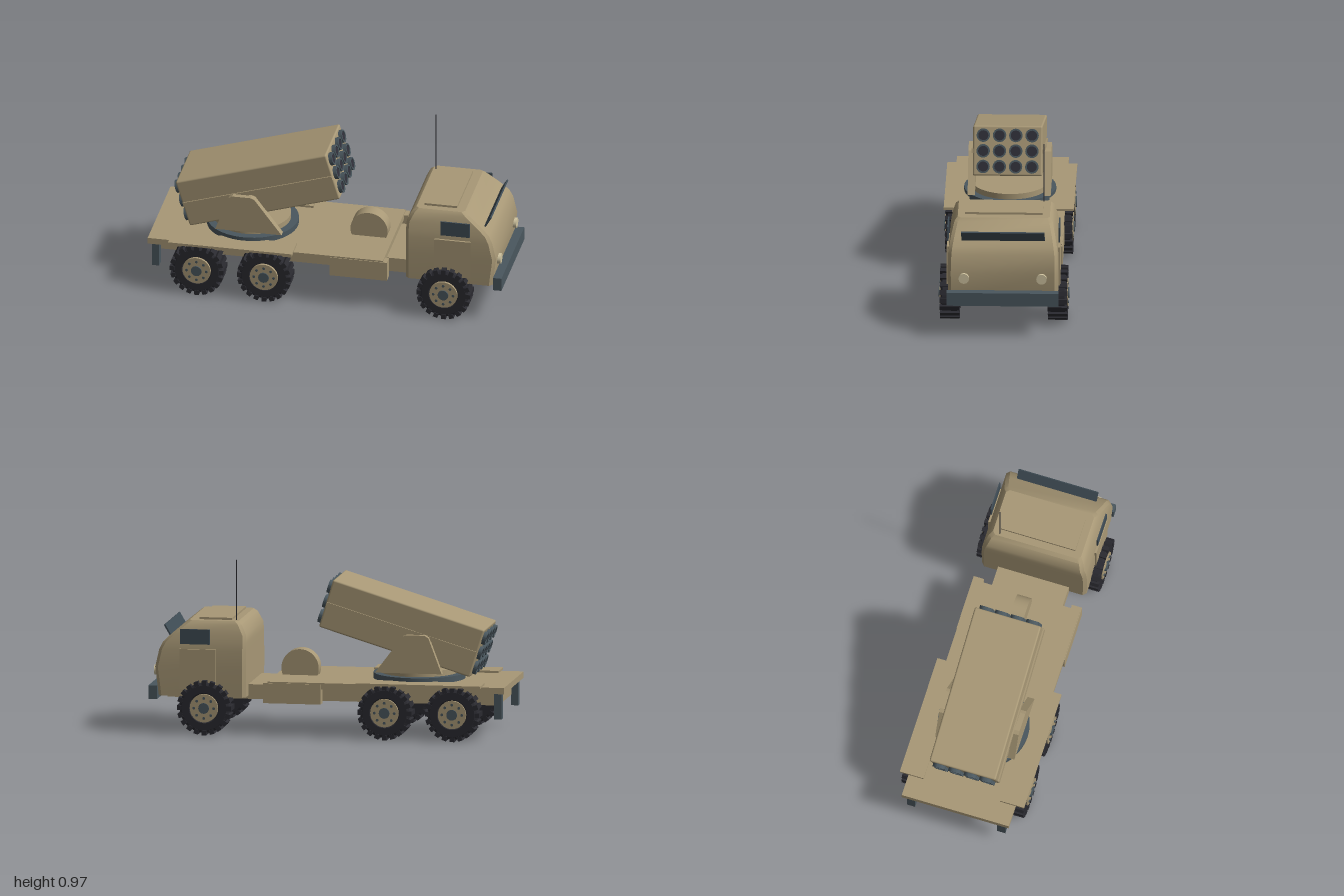
import * as THREE from 'three';
import { toCreasedNormals } from 'three/addons/utils/BufferGeometryUtils.js';
import { RoundedBoxGeometry } from 'three/addons/geometries/RoundedBoxGeometry.js';

const mat = (name, color) => {
  const m = new THREE.MeshStandardMaterial({ color });
  m.name = name;
  return m;
};
const tan = mat('sand paint', 0xa89876);
const slate = mat('slate metal', 0x4a575e);
const rubber = mat('black rubber', 0x2a2a30);
const bore = mat('dark bore', 0x302f38);
const glass = mat('dark glass', 0x3e4b54);
const cream = mat('lamp cream', 0xd0c4a0);

function add(parent, name, geometry, material, x = 0, y = 0, z = 0) {
  const m = new THREE.Mesh(geometry, material);
  m.name = name;
  m.position.set(x, y, z);
  parent.add(m);
  return m;
}

// Box given by its limits on each axis
function block(parent, name, material, x0, x1, y0, y1, z0, z1) {
  return add(parent, name, new THREE.BoxGeometry(x1 - x0, y1 - y0, z1 - z0), material,
    (x0 + x1) / 2, (y0 + y1) / 2, (z0 + z1) / 2);
}

// Cylinders lying along z or x
const cylZ = (r, len, n = 32) => new THREE.CylinderGeometry(r, r, len, n).rotateX(Math.PI / 2);
const cylX = (r, len, n = 24) => new THREE.CylinderGeometry(r, r, len, n).rotateZ(-Math.PI / 2);

// Cab shell lofted through chamfered rectangles: [y, back x, front x, half width]
function cabGeometry() {
  const levels = [
    [0.21, 0.455, 0.945, 0.303], [0.37, 0.455, 0.965, 0.306], [0.47, 0.455, 0.942, 0.303],
    [0.51, 0.455, 0.922, 0.298], [0.555, 0.457, 0.875, 0.288], [0.612, 0.485, 0.805, 0.272],
    [0.63, 0.505, 0.78, 0.255],
  ];
  const pos = [], idx = [], n = 8;
  for (const [y, b, f, w] of levels) {
    const c = 0.018;
    const ring = [[f, -w + c], [f, w - c], [f - c, w], [b + c, w],
      [b, w - c], [b, -w + c], [b + c, -w], [f - c, -w]];
    for (const [x, z] of ring) pos.push(x, y, z);
  }
  for (let l = 0; l < levels.length - 1; l++) {
    for (let i = 0; i < n; i++) {
      const a = l * n + i, b = l * n + (i + 1) % n;
      idx.push(a, a + n, b, b, a + n, b + n);
    }
  }
  const top = (levels.length - 1) * n;
  for (let i = 1; i < n - 1; i++) {
    idx.push(0, i, i + 1);
    idx.push(top, top + i + 1, top + i);
  }
  const g = new THREE.BufferGeometry();
  g.setAttribute('position', new THREE.Float32BufferAttribute(pos, 3));
  g.setIndex(idx);
  return toCreasedNormals(g, 0.5);
}

// Wheel with block tread; the hub faces local +z
function makeWheel() {
  const wheel = new THREE.Group();
  wheel.name = 'wheel';
  const profile = [[0.001, -0.05], [0.125, -0.05], [0.139, -0.04], [0.139, 0.04],
    [0.125, 0.05], [0.085, 0.05], [0.08, 0.042], [0.001, 0.042]];
  const tyre = new THREE.LatheGeometry(profile.map(p => new THREE.Vector2(...p)), 40);
  add(wheel, 'tyre', toCreasedNormals(tyre.rotateX(Math.PI / 2), 0.5), rubber);
  const lugs = 20;
  for (let i = 0; i < lugs; i++) {
    const a = (i / lugs) * Math.PI * 2;
    const lug = add(wheel, 'treadLug', new THREE.BoxGeometry(0.026, 0.024, 0.108), rubber,
      Math.cos(a) * 0.139, Math.sin(a) * 0.139, 0);
    lug.rotation.z = a;
    lug.scale.set(1, 1.1, 1);
  }
  add(wheel, 'rim', cylZ(0.079, 0.02), tan, 0, 0, 0.046);
  add(wheel, 'hubCap', cylZ(0.03, 0.02, 20), slate, 0, 0, 0.053);
  for (let i = 0; i < 8; i++) {
    const a = (i / 8) * Math.PI * 2;
    add(wheel, 'wheelBolt', cylZ(0.008, 0.008, 8), slate, Math.cos(a) * 0.056, Math.sin(a) * 0.056, 0.055);
  }
  return wheel;
}

// Tilted box launcher with 4 x 3 tubes showing at both ends
function makeLauncher() {
  const g = new THREE.Group();
  g.name = 'launcher';
  add(g, 'launcherBox', new RoundedBoxGeometry(0.889, 0.278, 0.384, 2, 0.01), tan);
  for (const s of [1, -1]) {
    block(g, 'sideRail', tan, -0.44, 0.44, -0.014, 0.01, s * 0.194 - 0.006, s * 0.194 + 0.006);
  }
  const ring = new THREE.LatheGeometry(
    [[0.028, -0.02], [0.037, -0.02], [0.037, 0.02], [0.028, 0.02], [0.028, -0.02]]
      .map(p => new THREE.Vector2(...p)), 24);
  const tube = toCreasedNormals(ring.rotateZ(-Math.PI / 2), 0.5);
  for (const end of [1, -1]) {
    for (let row = -1; row <= 1; row++) {
      for (let col = 0; col < 4; col++) {
        const y = row * 0.087, z = (col - 1.5) * 0.09;
        add(g, 'tubeRim', tube, slate, end * 0.445, y, z);
        add(g, 'tubeBore', cylX(0.029, 0.03), bore, end * 0.445, y, z);
      }
    }
  }
  g.position.set(-0.4025, 0.604, 0);
  g.rotation.z = 0.297;
  return g;
}

export function createModel() {
  const model = new THREE.Group();
  model.name = 'rocketTruck';

  // Chassis and deck
  block(model, 'chassis', tan, -0.95, 0.91, 0.19, 0.272, -0.205, 0.205);
  block(model, 'deck', tan, -1, 0.33, 0.27, 0.305, -0.31, 0.31);

  // Side equipment: boxes, fenders and rear posts
  for (const s of [1, -1]) {
    const side = new THREE.Group();
    side.name = s > 0 ? 'leftSide' : 'rightSide';
    model.add(side);
    const sideBlock = (name, m, x0, x1, y0, y1, z0, z1) =>
      block(side, name, m, x0, x1, y0, y1, Math.min(s * z0, s * z1), Math.max(s * z0, s * z1));
    sideBlock('storageBox', tan, 0.03, 0.353, 0.185, 0.297, 0.255, 0.314);
    sideBlock('fender', tan, -0.875, -0.175, 0.304, 0.317, 0.222, 0.36);
    sideBlock('rearPost', slate, -0.982, -0.94, 0.125, 0.272, 0.238, 0.285);
    sideBlock('door', tan, 0.62, 0.825, 0.25, 0.475, 0.295, 0.314);
    sideBlock('sideWindow', glass, 0.655, 0.82, 0.503, 0.587, 0.304, 0.312);
    add(side, 'headlight', cylX(0.029, 0.04), cream, 0.96, 0.342, s * 0.215);
    for (const x of [-0.715, -0.335, 0.68]) {
      const wheel = makeWheel();
      wheel.position.set(x, 0.153, s * 0.299);
      if (s < 0) wheel.rotation.y = Math.PI;
      side.add(wheel);
    }
  }

  // Cab
  add(model, 'cab', cabGeometry(), tan);
  block(model, 'roofHatch', tan, 0.545, 0.73, 0.625, 0.642, -0.215, 0.215);
  const shield = add(model, 'windshield', new THREE.BoxGeometry(0.009, 0.084, 0.462), glass, 0.902, 0.561, 0);
  shield.rotation.z = -0.53;
  block(model, 'bumper', slate, 0.952, 1, 0.19, 0.266, -0.31, 0.31);
  add(model, 'antenna', new THREE.CylinderGeometry(0.003, 0.003, 0.36, 8), rubber, 0.52, 0.788, -0.215);

  // Drum housing behind the cab
  add(model, 'drumHousing', cylZ(0.105, 0.08, 40), tan, 0.195, 0.345, 0);

  // Turntable
  add(model, 'turntableRing', new THREE.CylinderGeometry(0.255, 0.255, 0.035, 48), slate, -0.47, 0.32, 0);
  add(model, 'turntable', new THREE.CylinderGeometry(0.212, 0.212, 0.035, 48), tan, -0.47, 0.352, 0);

  // Launcher brackets
  const outline = new THREE.Shape([[-0.635, 0.36], [-0.26, 0.36], [-0.415, 0.565], [-0.435, 0.573],
    [-0.54, 0.573], [-0.56, 0.56]].map(p => new THREE.Vector2(...p)));
  const bracket = new THREE.ExtrudeGeometry(outline, { depth: 0.04, bevelEnabled: false });
  for (const z of [0.19, -0.23]) add(model, 'launcherBracket', bracket, tan, 0, 0, z);

  model.add(makeLauncher());
  return model;
}
